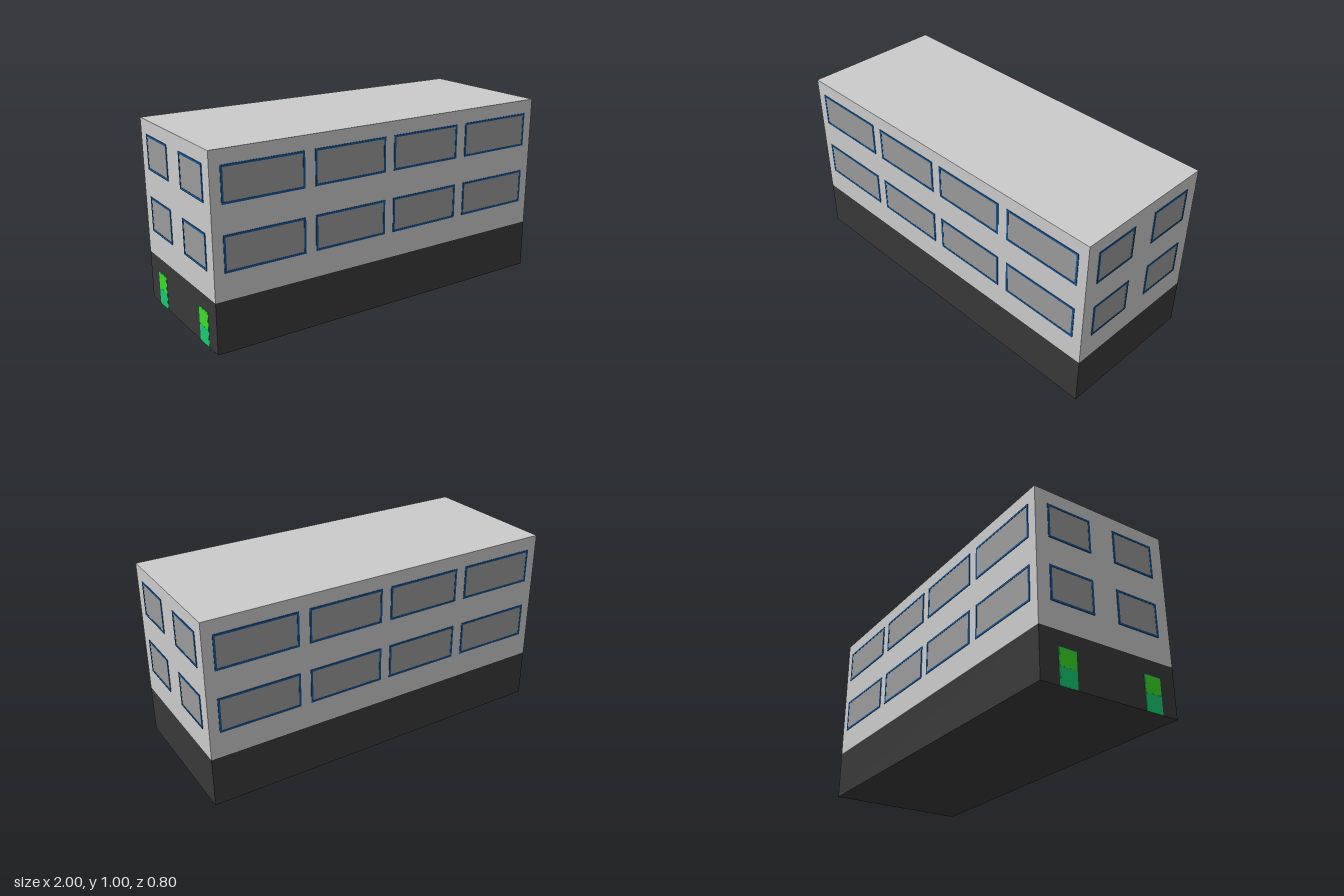
import * as THREE from 'three';

const mat = (color) => new THREE.MeshStandardMaterial({ color, flatShading: true });

const WALL_X = 0.997, WALL_Z = 0.398, BASE_H = 0.268, HEIGHT = 1;
const FRAME = 0.011, PROUD = 0.003;

function box(name, w, h, d, x, y, z, material) {
  const mesh = new THREE.Mesh(new THREE.BoxGeometry(w, h, d), material);
  mesh.name = name;
  mesh.position.set(x, y, z);
  return mesh;
}

export function createModel() {
  const model = new THREE.Group();
  model.name = 'building';
  const wall = mat(0xcccccc), dark = mat(0x393939), glass = mat(0x9b9b9b);
  const blue = mat(0x10569a), green = mat(0x3cdc23), teal = mat(0x19cc6e);

  // Solid plinth and upper storeys
  model.add(box('groundFloor', WALL_X * 2, BASE_H, WALL_Z * 2, 0, BASE_H / 2, 0, dark));
  model.add(box('upperFloors', WALL_X * 2, HEIGHT - BASE_H, WALL_Z * 2, 0, (HEIGHT + BASE_H) / 2, 0, wall));

  // One framed window, its back on the local z = 0 plane
  function windowUnit(a, b, bottom, top) {
    const g = new THREE.Group();
    g.name = 'window';
    const w = b - a, h = top - bottom;
    const outline = new THREE.Shape([
      new THREE.Vector2(-w / 2, -h / 2), new THREE.Vector2(w / 2, -h / 2),
      new THREE.Vector2(w / 2, h / 2), new THREE.Vector2(-w / 2, h / 2),
    ]);
    const p = w / 2 - FRAME, q = h / 2 - FRAME;
    outline.holes.push(new THREE.Path([
      new THREE.Vector2(-p, -q), new THREE.Vector2(-p, q),
      new THREE.Vector2(p, q), new THREE.Vector2(p, -q),
    ]));
    const frame = new THREE.Mesh(new THREE.ExtrudeGeometry(outline, { depth: PROUD, bevelEnabled: false }), blue);
    frame.name = 'windowFrame';
    g.add(frame, box('windowPane', p * 2, q * 2, 0.002, 0, 0, 0.0005, glass));
    g.position.set((a + b) / 2, (bottom + top) / 2, 0);
    return g;
  }

  // Two rows of windows on each of the four walls
  const rows = [[0.406, 0.593], [0.74, 0.926]];
  const longSpans = [[-0.943, -0.502], [-0.445, -0.027], [0.026, 0.445], [0.502, 0.943]];
  const shortSpans = [[-0.326, -0.072], [0.072, 0.326]];
  const walls = [
    ['frontWindows', longSpans, 0, WALL_Z], ['backWindows', longSpans, Math.PI, WALL_Z],
    ['leftWindows', shortSpans, Math.PI / 2, WALL_X], ['rightWindows', shortSpans, -Math.PI / 2, WALL_X],
  ];
  for (const [name, spans, turn, offset] of walls) {
    const side = new THREE.Group();
    side.name = name;
    side.rotation.y = turn;
    side.position.set(Math.sin(turn) * offset, 0, Math.cos(turn) * offset);
    for (const [lo, hi] of rows) for (const [a, b] of spans) side.add(windowUnit(a, b, lo, hi));
    model.add(side);
  }

  // Two doors on the -x end, each a teal lower leaf under a green panel
  for (const z of [-0.243, 0.257]) {
    const door = new THREE.Group();
    door.name = 'door';
    door.position.set(-WALL_X, 0, z);
    door.add(box('doorFrame', 0.003, 0.187, 0.1, 0, 0.0935, 0, teal));
    door.add(box('doorLower', 0.004, 0.09, 0.092, 0, 0.047, 0, teal));
    door.add(box('doorUpper', 0.004, 0.088, 0.092, 0, 0.139, 0, green));
    model.add(door);
  }
  return model;
}
